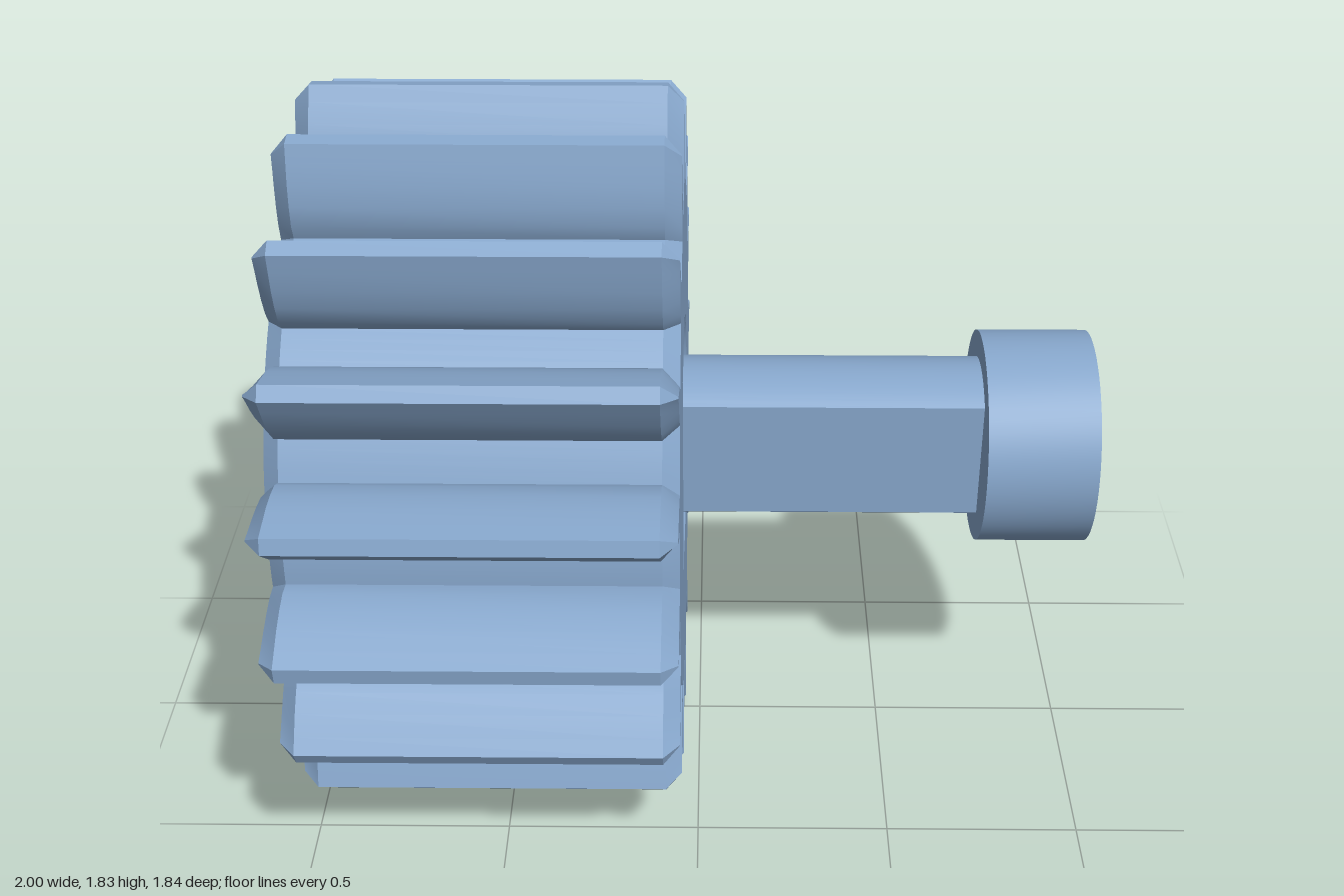
import * as THREE from 'three';
import { toCreasedNormals } from 'three/addons/utils/BufferGeometryUtils.js';

const AXIS_Y = 0.92, TEETH = 17;
const steel = new THREE.MeshStandardMaterial({ color: 0x87a7cc });
steel.name = 'blue steel';
const V = (x, y) => new THREE.Vector2(x, y);

// Skin between matching closed outlines, each placed at a depth along local z
function loft(sections) {
  const pos = [];
  for (let s = 0; s + 1 < sections.length; s++) {
    const [z0, A] = sections[s], [z1, B] = sections[s + 1];
    for (let i = 0; i < A.length; i++) {
      const j = (i + 1) % A.length;
      const a = [A[i].x, A[i].y, z0], b = [A[j].x, A[j].y, z0];
      const c = [B[j].x, B[j].y, z1], d = [B[i].x, B[i].y, z1];
      pos.push(...a, ...b, ...c, ...a, ...c, ...d);
    }
  }
  const g = new THREE.BufferGeometry();
  g.setAttribute('position', new THREE.Float32BufferAttribute(pos, 3));
  return toCreasedNormals(g, 0.45);
}

// Flat end plate; dir is +1 or -1 for the side it faces
function cap(outline, hole, z, dir) {
  const shape = new THREE.Shape(outline);
  if (hole) shape.holes.push(new THREE.Path(hole));
  const g = new THREE.ShapeGeometry(shape);
  if (dir < 0) {
    const ix = g.index.array;
    for (let i = 0; i < ix.length; i += 3) [ix[i], ix[i + 1]] = [ix[i + 1], ix[i]];
    g.computeVertexNormals();
  }
  return g.translate(0, 0, z);
}

// Gear outline from one half tooth given as [radius, half width] pairs
function gearOutline(half) {
  const pts = [], pitch = (Math.PI * 2) / TEETH;
  const [r0, w0] = half[0];
  const foot = Math.atan2(w0, r0);
  for (let t = 0; t < TEETH; t++) {
    const mid = -Math.PI / 2 + t * pitch;
    const put = (r, w) => pts.push(V(
      r * Math.cos(mid) - w * Math.sin(mid), r * Math.sin(mid) + w * Math.cos(mid)));
    half.forEach(([r, w]) => put(r, -w));
    [...half].reverse().forEach(([r, w]) => put(r, w));
    const rootR = Math.hypot(r0, w0);
    for (let k = 1; k < 4; k++) {
      const a = mid + foot + (pitch - 2 * foot) * k / 4;
      pts.push(V(rootR * Math.cos(a), rootR * Math.sin(a)));
    }
  }
  return pts;
}

// D-shaped outline: an arc closed by two corners on a flat
function dOutline(r, sweep, flat, cornerY) {
  const pts = [];
  for (let i = 0; i <= 48; i++) {
    const a = -sweep + (2 * sweep * i) / 48;
    pts.push(V(r * Math.cos(a), r * Math.sin(a)));
  }
  pts.push(V(-flat, cornerY), V(-flat, -cornerY));
  return pts;
}

export function createModel() {
  const model = new THREE.Group();
  model.name = 'pinionAndShaft';
  const assembly = new THREE.Group();
  assembly.name = 'assembly';
  assembly.position.y = AXIS_Y;
  assembly.rotation.y = Math.PI / 2; // local z becomes the x axis
  model.add(assembly);
  const add = (name, geometry, parent = assembly) => {
    const mesh = new THREE.Mesh(geometry, steel);
    mesh.name = name;
    parent.add(mesh);
  };

  // Pinion with bevelled tooth ends
  const pinion = new THREE.Group();
  pinion.name = 'pinion';
  assembly.add(pinion);
  const full = gearOutline([[0.69, 0.076], [0.73, 0.083], [0.78, 0.075],
    [0.83, 0.06], [0.88, 0.038], [0.92, 0.02]]);
  const inset = gearOutline([[0.658, 0.04], [0.70, 0.043], [0.75, 0.036],
    [0.80, 0.024], [0.84, 0.012], [0.878, 0.002]]);
  add('gearTeeth', loft([[-1, inset], [-0.96, full], [-0.08, full], [-0.04, inset]]), pinion);

  // Keyed bore, countersunk at both ends
  const mouth = dOutline(0.31, 1.97, 0.22, 0.285);
  const bore = dOutline(0.208, 1.97, 0.131, 0.162);
  const rev = (p) => [...p].reverse();
  add('bore', loft([[-1, rev(mouth)], [-0.9, rev(bore)],
    [-0.14, rev(bore)], [-0.04, rev(mouth)]]), pinion);
  add('outerFace', cap(inset, mouth, -1, -1), pinion);
  add('innerFace', cap(inset, mouth, -0.04, 1), pinion);

  // Shaft with one flat side
  const sweep = Math.PI - Math.acos(0.13 / 0.205);
  const shaft = dOutline(0.205, sweep, 0.13, 0.1585);
  add('shaft', loft([[-0.56, shaft], [0.73, shaft]]));
  add('shaftEnd', cap(shaft, null, -0.56, -1));

  // Round head with a small centre hole
  const head = new THREE.LatheGeometry([V(0, 0.72), V(0.275, 0.72), V(0.275, 1),
    V(0.028, 1), V(0.028, 0.88), V(0, 0.88)], 56);
  head.rotateX(Math.PI / 2);
  add('shaftHead', toCreasedNormals(head, 0.45));
  return model;
}
